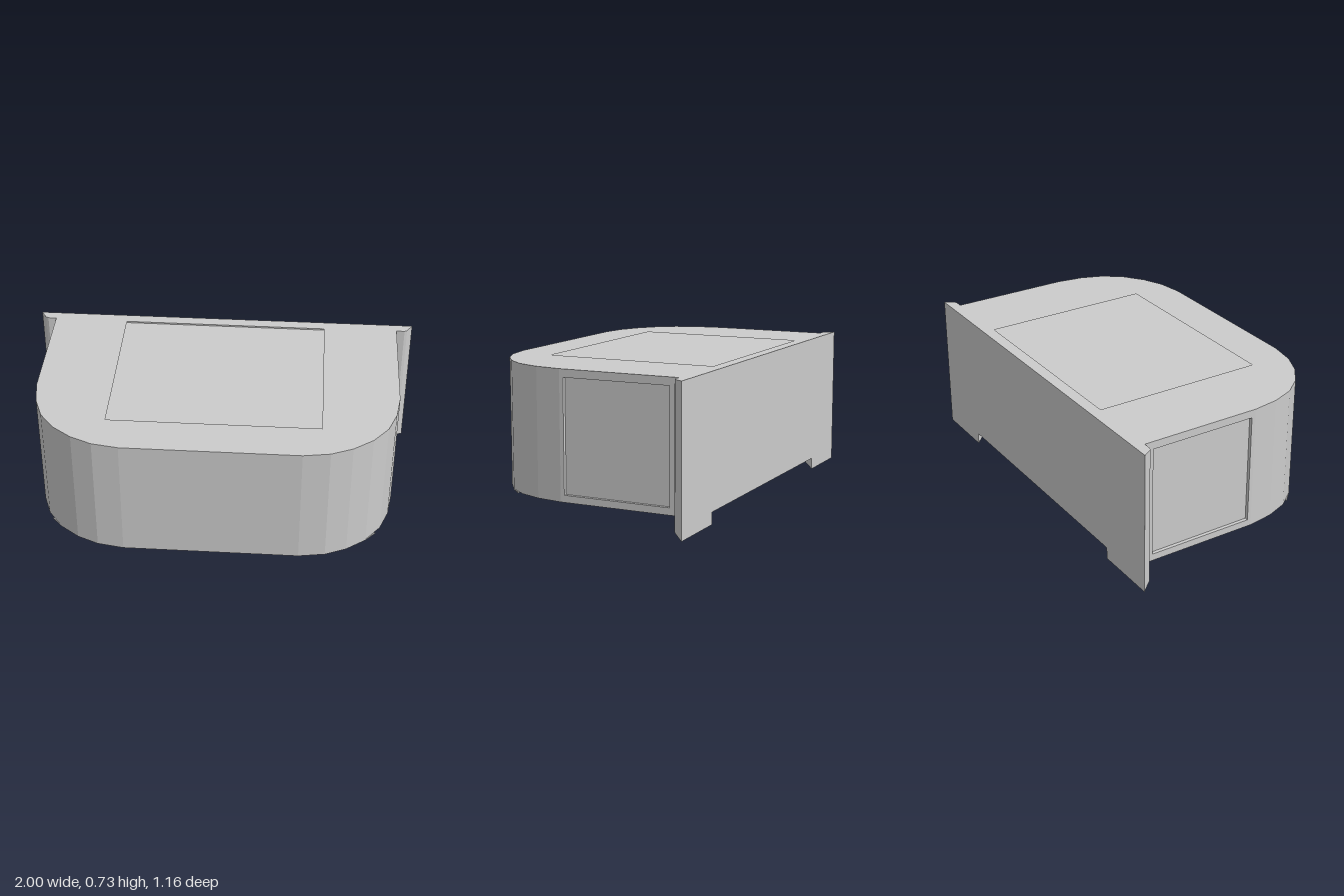
import * as THREE from 'three';
import { mergeVertices, toCreasedNormals } from 'three/addons/utils/BufferGeometryUtils.js';

const material = new THREE.MeshStandardMaterial({ color: 0xcccccc });

const FLOOR = 0.125; // height of the recessed underside

// Right half of a plan outline is given as [x, z]; mirror it into a closed loop.
const mirrored = (half) => [...half, ...half.slice().reverse().map(([x, z]) => [-x, z])];
const toPath = (pts, Type = THREE.Path) => new Type(pts.map(([x, z]) => new THREE.Vector2(x, -z)));

// Extrude a plan outline upward from y0 to y1.
function slab(name, pts, y0, y1, holes = [], bevel = 0) {
  const shape = toPath(pts, THREE.Shape);
  shape.holes = holes.map((h) => toPath(h));
  const geo = new THREE.ExtrudeGeometry(shape, {
    depth: y1 - y0 - 2 * bevel, bevelEnabled: bevel > 0,
    bevelSize: bevel, bevelThickness: bevel, bevelOffset: -bevel, bevelSegments: 2,
  });
  geo.rotateX(-Math.PI / 2).translate(0, y0 + bevel, 0);
  const mesh = new THREE.Mesh(geo, material);
  mesh.name = name;
  return mesh;
}

const rect = (x0, x1, z0, z1) => [[x0, z0], [x1, z0], [x1, z1], [x0, z1]];

function roundedRect(cx, cz, w, d, r, n = 5) {
  const pts = [];
  for (let c = 0; c < 4; c++) {
    const sx = c === 0 || c === 3 ? 1 : -1, sz = c < 2 ? 1 : -1;
    for (let i = 0; i <= n; i++) {
      const a = (c + i / n) * Math.PI / 2;
      pts.push([cx + sx * (w / 2 - r) + r * Math.cos(a), cz + sz * (d / 2 - r) + r * Math.sin(a)]);
    }
  }
  return pts;
}

// Main housing, stacked in layers so the panels and underside are recessed.
function makeBody() {
  const body = new THREE.Group();
  body.name = 'housing';
  const front = [[0.915, 0.09], [0.895, 0.225], [0.852, 0.34], [0.778, 0.435],
    [0.68, 0.508], [0.573, 0.555], [0.44, 0.577]];
  const outline = mirrored([[0.915, -0.575], ...front]);
  const notched = mirrored([[0.915, -0.575], [0.915, -0.48], [0.897, -0.48],
    [0.897, 0.07], [0.915, 0.07], ...front]);
  const centreWell = mirrored([[0.75, -0.52], [0.75, 0.41], [0.662, 0.482], [0.563, 0.525], [0.437, 0.547]]);
  const sideWell = [[0.79, -0.52], [0.89, -0.52], [0.89, 0.09], [0.87, 0.215], [0.827, 0.325], [0.79, 0.375]];
  const otherWell = sideWell.map(([x, z]) => [-x, z]);
  body.add(
    slab('bottomRim', outline, 0.09, FLOOR, [centreWell, sideWell, otherWell]),
    slab('walls', notched, FLOOR, 0.685),
    slab('topDeck', outline, 0.685, 0.713),
    slab('topRim', outline, 0.713, 0.725, [rect(-0.53, 0.53, -0.52, 0.36)]),
  );
  // low front lip under the centre well
  const lip = mirrored([[0.83, 0.38], [0.778, 0.435], [0.68, 0.508], [0.573, 0.555], [0.44, 0.577]]);
  const lipHole = mirrored([[0.75, 0.385], [0.75, 0.41], [0.662, 0.482], [0.563, 0.525], [0.437, 0.547]]);
  body.add(slab('frontLip', lip, 0.084, 0.09, [lipHole]));
  return body;
}

// Back plate with a moulded edge on its sides and stepped lower edge.
function makeBackPlate() {
  const profile = [[-0.58, 0], [-0.574, 0.004], [-0.546, 0.021], [-0.534, 0.028], [-0.526, 0.042]];
  const loop = (d) => {
    const right = [[0.67 + d, 0.06 + d], [0.67 + d, d], [1 - d, d], [1 - d, 0.725]];
    return mirrored(right);
  };
  const pos = [];
  const cap = (z, d, flip) => {
    const pts = loop(d).map(([x, y]) => new THREE.Vector2(x, y));
    for (const t of THREE.ShapeUtils.triangulateShape(pts, [])) {
      for (const i of flip ? [t[0], t[2], t[1]] : t) pos.push(pts[i].x, pts[i].y, z);
    }
  };
  for (let k = 0; k < profile.length - 1; k++) {
    const [z0, d0] = profile[k], [z1, d1] = profile[k + 1];
    const a = loop(d0), b = loop(d1);
    for (let i = 0; i < a.length; i++) {
      const j = (i + 1) % a.length;
      pos.push(...a[i], z0, ...a[j], z0, ...b[j], z1, ...a[i], z0, ...b[j], z1, ...b[i], z1);
    }
  }
  cap(profile[0][0], 0, true);
  cap(profile[4][0], profile[4][1], false);
  const geo = new THREE.BufferGeometry();
  geo.setAttribute('position', new THREE.Float32BufferAttribute(pos, 3));
  const mesh = new THREE.Mesh(toCreasedNormals(mergeVertices(geo), 0.3), material);
  mesh.name = 'backPlate';
  return mesh;
}

// Ribbed nozzle hanging below the floor.
function makeNozzle(name, x, z, r, bottom, ribs) {
  const group = new THREE.Group();
  group.name = name;
  group.position.set(x, 0, z);
  const h = FLOOR - bottom;
  const at = (radius, t) => new THREE.Vector2(radius * r, bottom + t * h);
  const points = [at(0, 0), at(0.4, 0), at(0.45, 0.04), at(0.45, 0.2), at(0.75, 0.22),
    at(0.95, 0.28), at(0.95, 0.45), at(0.82, 0.47), at(0.82, 1)];
  const geo = toCreasedNormals(new THREE.LatheGeometry(points, 24), 0.5);
  const stem = new THREE.Mesh(geo, material);
  stem.name = 'nozzleStem';
  group.add(stem);
  for (let i = 0; i < ribs; i++) {
    const a = (i / ribs) * Math.PI * 2;
    const rib = new THREE.Mesh(new THREE.BoxGeometry(r * 0.35, h * 0.5, r * 0.22), material);
    rib.name = 'nozzleRib';
    rib.position.set(Math.cos(a) * r * 0.92, bottom + h * 0.72, -Math.sin(a) * r * 0.92);
    rib.rotation.y = a;
    group.add(rib);
  }
  return group;
}

// Long raised frame with fine slats inside.
function makeVent() {
  const vent = new THREE.Group();
  vent.name = 'vent';
  vent.add(slab('ventFrame', roundedRect(0, 0.03, 1.04, 0.13, 0.03), 0.1, FLOOR,
    [roundedRect(0, 0.03, 0.97, 0.07, 0.015)]));
  for (let i = 0; i < 24; i++) {
    const x = -0.46 + i * 0.04;
    vent.add(slab('ventSlat', rect(x - 0.008, x + 0.008, -0.005, 0.065), 0.115, FLOOR));
  }
  return vent;
}

// Four bevelled pads grouped in a rounded cluster.
function makePads(side) {
  const pads = new THREE.Group();
  pads.name = side > 0 ? 'leftPads' : 'rightPads';
  const outlines = [
    [[0.17, 0.23], [0.20, 0.2], [0.38, 0.2], [0.38, 0.33], [0.36, 0.35], [0.17, 0.35], [0.155, 0.33]],
    [[0.42, 0.2], [0.58, 0.2], [0.64, 0.25], [0.66, 0.33], [0.64, 0.35], [0.44, 0.35], [0.42, 0.33]],
    [[0.17, 0.39], [0.36, 0.39], [0.38, 0.41], [0.38, 0.5], [0.36, 0.515], [0.27, 0.49], [0.2, 0.44]],
    [[0.44, 0.39], [0.64, 0.39], [0.61, 0.44], [0.54, 0.49], [0.44, 0.515], [0.42, 0.5], [0.42, 0.41]],
  ];
  for (const o of outlines) {
    pads.add(slab('pad', o.map(([x, z]) => [side * x, z]), 0.1, FLOOR + 0.01, [], 0.01));
  }
  return pads;
}

export function createModel() {
  const model = new THREE.Group();
  model.name = 'wallUnit';
  model.add(makeBody(), makeBackPlate(), makeVent(), makePads(1), makePads(-1));
  model.add(makeNozzle('centreNozzle', 0, -0.35, 0.065, 0.01, 14));
  model.add(makeNozzle('rightNozzle', -0.24, -0.36, 0.038, 0.065, 10));
  model.add(makeNozzle('leftNozzle', 0.207, -0.36, 0.038, 0.065, 10));
  return model;
}
